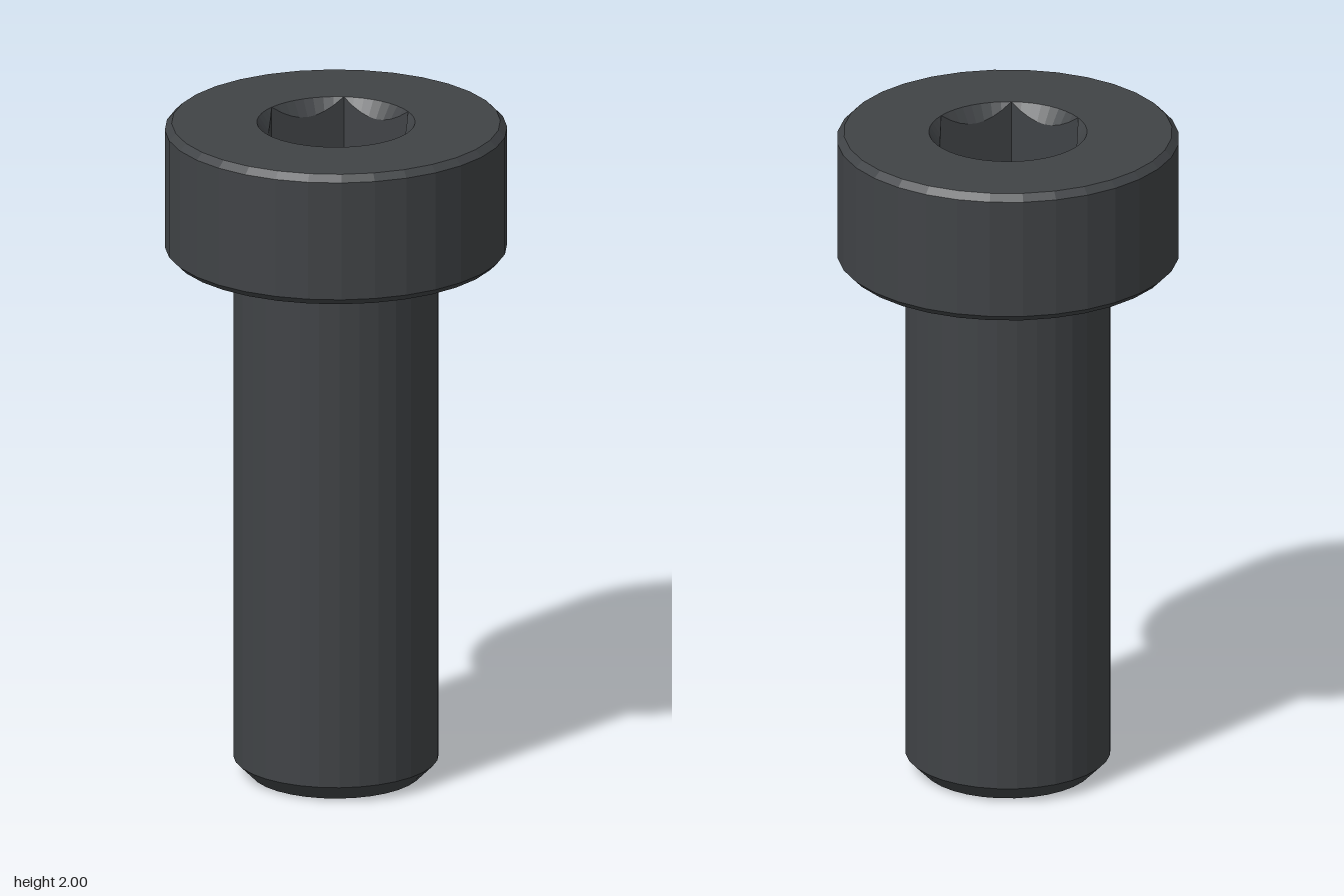
import * as THREE from 'three';

const HEAD_R = 0.5, SHANK_R = 0.3, HEAD_BOTTOM = 1.6, TOP = 2;
const CHAMFER = 0.02, FILLET = 0.025, SIDES = 32;
const HEX_FLAT = 0.2, HEX_CORNER = HEX_FLAT / Math.cos(Math.PI / 6);
const SOCKET_DEPTH = 0.23, SOCKET_SIDES = 48, COUNTERSINK_SLOPE = 1.5;

const material = new THREE.MeshStandardMaterial({ color: 0x404346, flatShading: true });

function addPart(group, name, geometry) {
  const flat = geometry.index ? geometry.toNonIndexed() : geometry;
  flat.computeVertexNormals();
  const mesh = new THREE.Mesh(flat, material);
  mesh.name = name;
  group.add(mesh);
  return mesh;
}

const lathe = (points, sides) =>
  new THREE.LatheGeometry(points.map(([r, y]) => new THREE.Vector2(r, y)), sides);

// Points of a regular polygon, starting on the x axis
const ring = (radius, sides) => Array.from({ length: sides }, (_, i) => {
  const a = (i / sides) * Math.PI * 2;
  return new THREE.Vector2(radius * Math.cos(a), radius * Math.sin(a));
});

// Distance from the axis to the hexagon wall; corners lie on the x axis
function hexRadius(angle) {
  const sector = Math.PI / 3;
  const a = ((angle % sector) + sector) % sector;
  return HEX_FLAT / Math.cos(a - sector / 2);
}

// Hexagonal recess: a lathe whose lower rings are pulled in to the hexagon,
// with the countersunk edge following the cone so each wall gets a curved top
function socketGeometry() {
  const floorY = TOP - SOCKET_DEPTH;
  const profile = [[HEX_CORNER, TOP], [HEX_CORNER, TOP - 0.01], [HEX_CORNER, floorY], [0, floorY]];
  const geometry = lathe(profile, SOCKET_SIDES);
  const p = geometry.attributes.position;
  for (let i = 0; i < p.count; i++) {
    const row = i % profile.length;
    if (row !== 1 && row !== 2) continue;
    const angle = Math.atan2(p.getZ(i), p.getX(i));
    const r = hexRadius(angle);
    const y = row === 1 ? TOP - (HEX_CORNER - r) * COUNTERSINK_SLOPE : floorY;
    p.setXYZ(i, r * Math.cos(angle), y, r * Math.sin(angle));
  }
  return geometry;
}

export function createModel() {
  const group = new THREE.Group();
  group.name = 'socketHeadScrew';

  // Shank: chamfered tip, plain cylinder, small fillet under the head
  const shank = [[0, 0], [SHANK_R - 0.05, 0], [SHANK_R, 0.05]];
  for (let i = 0; i <= 4; i++) {
    const a = (i / 4) * Math.PI / 2;
    shank.push([
      SHANK_R + FILLET * (1 - Math.cos(a)),
      HEAD_BOTTOM - FILLET * (1 - Math.sin(a)),
    ]);
  }
  addPart(group, 'shank', lathe(shank, SIDES));

  // Head: bearing face and side with both edges chamfered
  addPart(group, 'head', lathe([
    [SHANK_R + FILLET, HEAD_BOTTOM],
    [HEAD_R - CHAMFER, HEAD_BOTTOM],
    [HEAD_R, HEAD_BOTTOM + CHAMFER],
    [HEAD_R, TOP - CHAMFER],
    [HEAD_R - CHAMFER, TOP],
  ], SIDES));

  // Flat top of the head, open over the socket
  const topShape = new THREE.Shape(ring(HEAD_R - CHAMFER, SIDES));
  topShape.holes.push(new THREE.Path(ring(HEX_CORNER, SOCKET_SIDES)));
  const topGeometry = new THREE.ShapeGeometry(topShape);
  topGeometry.rotateX(-Math.PI / 2).translate(0, TOP, 0);
  addPart(group, 'headTop', topGeometry);

  addPart(group, 'hexSocket', socketGeometry());
  return group;
}
